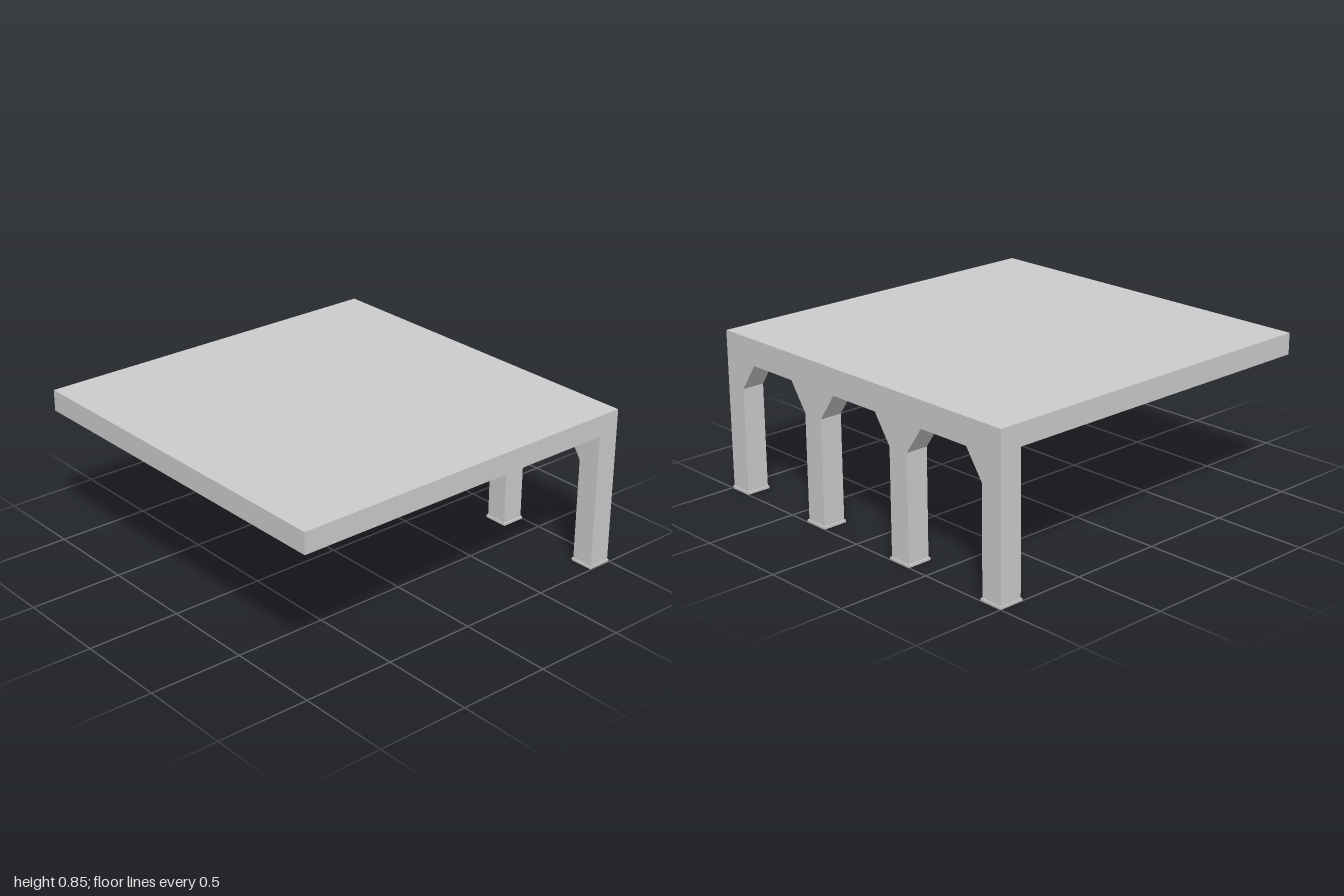
import * as THREE from 'three';

export function createModel() {
  const group = new THREE.Group();
  const material = new THREE.MeshStandardMaterial({ color: 0xcccccc, flatShading: true });
  const add = (name, geometry, x, y, z) => {
    const mesh = new THREE.Mesh(geometry, material);
    mesh.name = name;
    mesh.position.set(x, y, z);
    group.add(mesh);
  };

  const cx = -0.002, half = 0.994;
  const back = -0.993, depth = 0.122;
  const slabBottom = 0.74, slabTop = 0.853;
  const footHeight = 0.013;

  // Flat roof slab
  add('roofSlab', new THREE.BoxGeometry(half * 2, slabTop - slabBottom, 1 - back),
    cx, (slabTop + slabBottom) / 2, (1 + back) / 2);

  // Rear arcade: three openings with chamfered tops between four pillars
  const spring = 0.57, crown = 0.715, chamfer = 0.1;
  const openings = [[-0.873, -0.373], [-0.252, 0.252], [0.373, 0.873]];
  const outline = [[half, slabBottom], [-half, slabBottom], [-half, 0]];
  for (const [a, b] of openings) {
    outline.push([a, 0], [a, spring], [a + chamfer, crown],
      [b - chamfer, crown], [b, spring], [b, 0]);
  }
  outline.push([half, 0]);
  const shape = new THREE.Shape(outline.map(([x, y]) => new THREE.Vector2(x, y)));
  add('arcade', new THREE.ExtrudeGeometry(shape, { depth, bevelEnabled: false }), cx, 0, back);

  // Thin foot plates, slightly wider than the pillars
  const feet = [[-0.998, -0.867], [-0.381, -0.245], [0.245, 0.381], [0.867, 0.998]];
  for (const [a, b] of feet) {
    add('footPlate', new THREE.BoxGeometry(b - a, footHeight, depth + 0.012),
      cx + (a + b) / 2, footHeight / 2, back + depth / 2);
  }
  return group;
}
